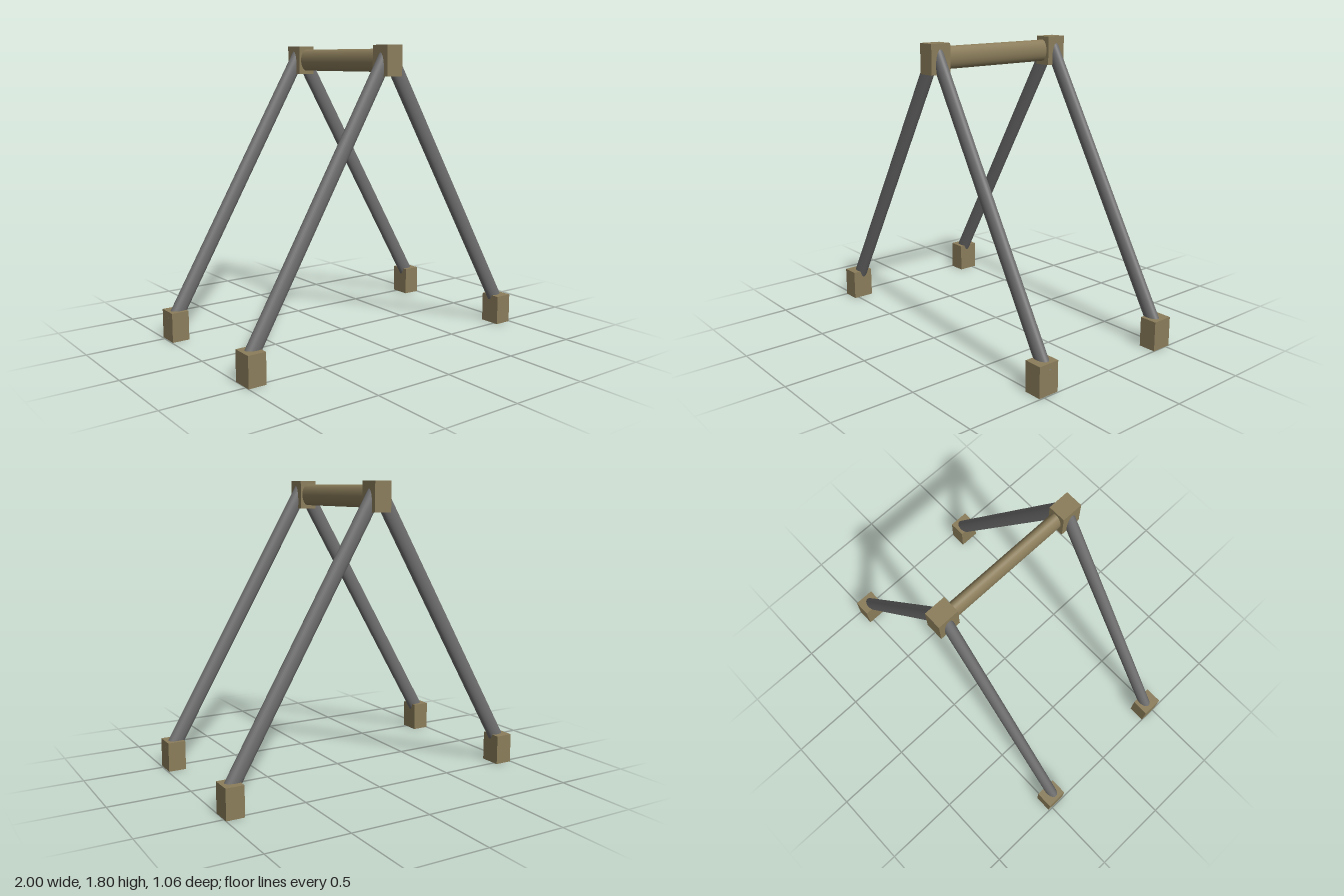
import * as THREE from 'three';

export function createModel() {
  const model = new THREE.Group();
  const tan = new THREE.MeshStandardMaterial({ color: 0x8b7d5b });
  tan.name = 'tan';
  const grey = new THREE.MeshStandardMaterial({ color: 0x6e6e6e });
  grey.name = 'grey';

  const add = (name, geometry, material, x, y, z) => {
    const mesh = new THREE.Mesh(geometry, material);
    mesh.name = name;
    mesh.position.set(x, y, z);
    model.add(mesh);
    return mesh;
  };

  // Leg axis from the ridge down into the foot
  const top = new THREE.Vector2(0, 1.766);
  const bottom = new THREE.Vector2(0.955, 0.122);
  const run = bottom.x - top.x;
  const drop = top.y - bottom.y;
  const legGeometry = new THREE.CylinderGeometry(0.0475, 0.0475, Math.hypot(run, drop), 32);
  legGeometry.scale(1, 1, 0.0335 / 0.0475);

  const footGeometry = new THREE.BoxGeometry(0.111, 0.184, 0.134);
  const capGeometry = new THREE.BoxGeometry(0.109, 0.178, 0.134);

  // Two A-frames, front and back
  for (const [end, s] of [['front', 1], ['back', -1]]) {
    const shift = -0.003 * s;
    add(end + 'RidgeJoint', capGeometry, tan, shift, 1.716, 0.45 * s);
    for (const [side, m] of [['Left', 1], ['Right', -1]]) {
      const leg = add(end + side + 'Leg', legGeometry, grey,
        m * (top.x + bottom.x) / 2, (top.y + bottom.y) / 2, 0.452 * s);
      leg.rotation.z = m * Math.atan2(run, drop);
      add(end + side + 'Foot', footGeometry, tan, m * 0.9415 + shift, 0.092, 0.462 * s);
    }
  }

  // Oval ridge beam joining the frames
  const beamGeometry = new THREE.CylinderGeometry(0.067, 0.067, 0.9, 32);
  beamGeometry.rotateX(Math.PI / 2).scale(0.04 / 0.067, 1, 1);
  add('ridgeBeam', beamGeometry, tan, 0, 1.717, 0);

  return model;
}
